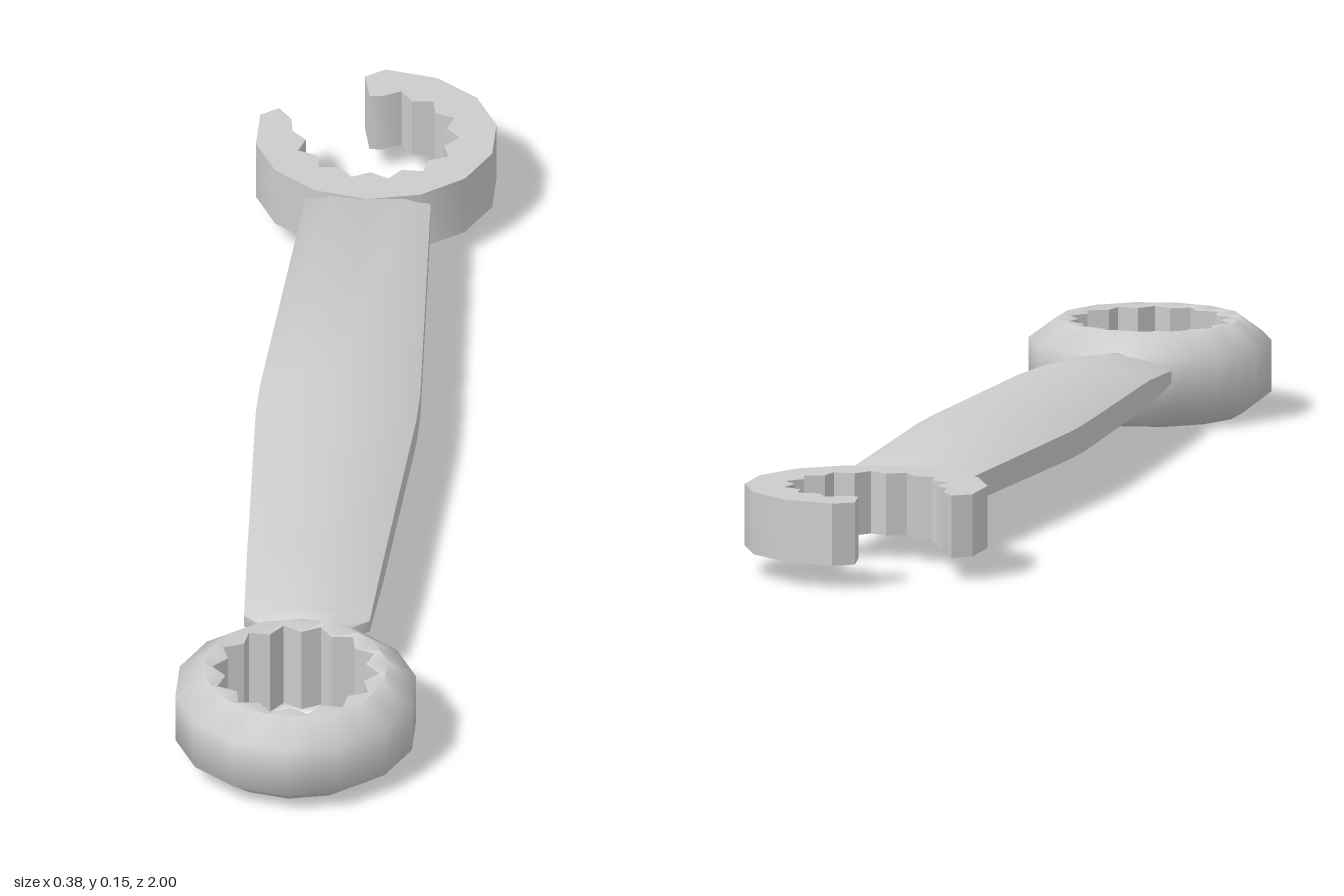
import * as THREE from 'three';
import { mergeVertices, toCreasedNormals } from 'three/addons/utils/BufferGeometryUtils.js';

const SIDES = 14, STEP = Math.PI / SIDES;
const TIP = 0.113, VALLEY = 0.133, OUTER = 0.193, HEAD_Z = 0.807;
const starRadius = i => (i % 2 ? VALLEY : TIP);

// Skin between closed loops of points; optionally join last loop to first
function loft(loops, closed) {
  const n = loops[0].length, m = loops.length, index = [];
  for (let j = 0; j < (closed ? m : m - 1); j++) {
    for (let i = 0; i < n; i++) {
      const a = j * n + i, b = j * n + (i + 1) % n, k = ((j + 1) % m) * n;
      const c = k + (i + 1) % n, d = k + i;
      index.push(a, b, c, a, c, d);
    }
  }
  const g = new THREE.BufferGeometry();
  g.setAttribute('position', new THREE.Float32BufferAttribute(loops.flat(2), 3));
  g.setIndex(index);
  return g;
}

// Closed ring head: bevelled 14-sided outside, toothed bore
function ringGeometry() {
  const loop = (r, y) => Array.from({ length: SIDES * 2 }, (_, i) => {
    const rad = r === null ? starRadius(i) : r * (i % 2 ? Math.cos(STEP) : 1);
    return [rad * Math.sin(i * STEP), y, rad * Math.cos(i * STEP)];
  });
  return toCreasedNormals(loft([
    loop(null, 0.004), loop(0.147, 0), loop(OUTER, 0.035),
    loop(OUTER, 0.119), loop(0.147, 0.153), loop(null, 0.149),
  ], true), 1.0);
}

// Open head: same outline with two sides cut away, straight walls
function openGeometry() {
  const at = (r, i) => new THREE.Vector2(r * Math.sin(i * STEP), r * Math.cos(i * STEP));
  const pts = [];
  for (let i = 0; i <= 22; i += 2) pts.push(at(OUTER, i));
  pts.push(new THREE.Vector2(-0.16, 0.065), new THREE.Vector2(-0.138, 0.035));
  for (let i = 21; i >= 0; i--) pts.push(at(starRadius(i), i));
  pts.push(new THREE.Vector2(-0.02, 0.113), new THREE.Vector2(-0.031, 0.17));
  const g = new THREE.ExtrudeGeometry(new THREE.Shape(pts), { depth: 0.1, bevelEnabled: false });
  g.rotateX(-Math.PI / 2);
  return toCreasedNormals(g, 0.6);
}

// Handle: rounded section, widest at mid-length, pinched where it meets the ring
function handleGeometry() {
  // z, half width, centre y, half height at crown, shoulder and edge
  const sections = [
    [-0.665, 0.02, 0.096, 0.02, 0.02, 0.01],
    [-0.64, 0.1, 0.096, 0.041, 0.036, 0.02],
    [-0.08, 0.128, 0.093, 0.053, 0.046, 0.022],
    [0.0, 0.128, 0.093, 0.053, 0.046, 0.022],
    [0.43, 0.108, 0.095, 0.042, 0.037, 0.02],
    [0.585, 0.1, 0.096, 0.034, 0.024, 0.01],
    [0.625, 0.05, 0.096, 0.028, 0.018, 0.008],
    [0.64, 0.01, 0.096, 0.01, 0.006, 0.003],
  ];
  const loops = sections.map(([z, w, y, crown, shoulder, edge]) => [
    [w, -edge], [w, edge], [0.6 * w, shoulder], [0, crown], [-0.6 * w, shoulder],
    [-w, edge], [-w, -edge], [-0.6 * w, -shoulder], [0, -crown], [0.6 * w, -shoulder],
  ].map(([px, py]) => [px, y + py, z]));
  const g = mergeVertices(loft(loops, false));
  return toCreasedNormals(g, 0.95);
}

export function createModel() {
  const group = new THREE.Group();
  group.name = 'flareWrench';
  const material = new THREE.MeshStandardMaterial({ color: 0xcccccc });
  const add = (name, geometry, y, z) => {
    const mesh = new THREE.Mesh(geometry, material);
    mesh.name = name;
    mesh.position.set(0, y, z);
    group.add(mesh);
  };
  add('ringHead', ringGeometry(), 0, HEAD_Z);
  add('openHead', openGeometry(), 0.038, -HEAD_Z);
  add('handle', handleGeometry(), 0, 0);
  return group;
}
